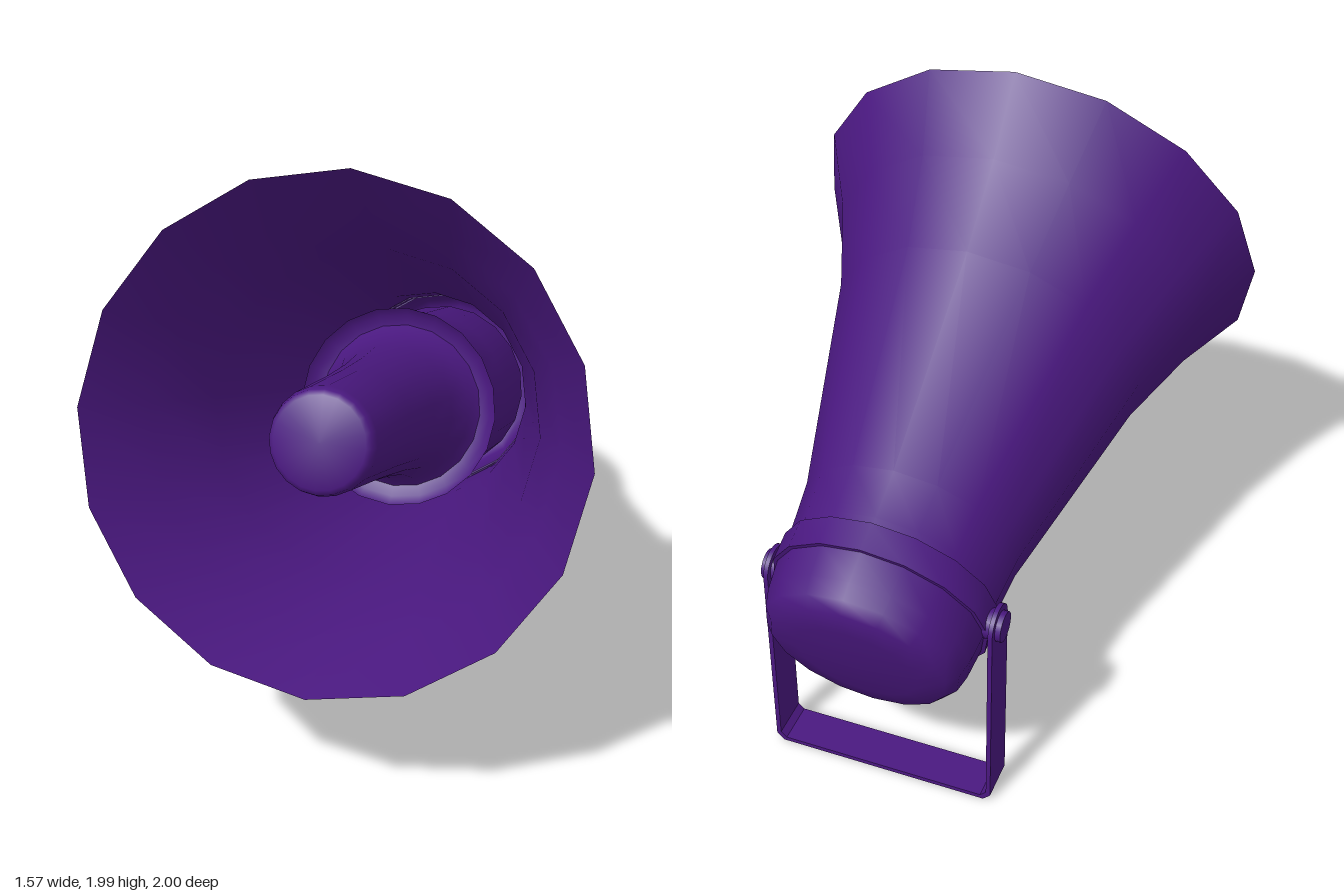
import * as THREE from 'three';
import { toCreasedNormals } from 'three/addons/utils/BufferGeometryUtils.js';

const material = new THREE.MeshStandardMaterial({ color: 0x4a1880, side: THREE.DoubleSide });
const PIVOT_Y = 0.735, PIVOT_Z = -0.69, TILT = THREE.MathUtils.degToRad(20.2);

function add(parent, name, geometry) {
  const mesh = new THREE.Mesh(geometry, material);
  mesh.name = name;
  parent.add(mesh);
  return mesh;
}

// profile points are [radius, distance along the horn axis from the pivot]
function turned(profile, segments = 16) {
  const points = profile.map(([r, s]) => new THREE.Vector2(r, s));
  return toCreasedNormals(new THREE.LatheGeometry(points, segments), 0.7);
}

export function createModel() {
  const model = new THREE.Group();
  model.name = 'hornLoudspeaker';

  // horn assembly, tilted upward about the bracket pivot
  const horn = new THREE.Group();
  horn.name = 'hornAssembly';
  horn.position.set(0, PIVOT_Y, PIVOT_Z);
  horn.rotation.x = Math.PI / 2 - TILT;
  model.add(horn);

  add(horn, 'outerBell', turned([
    [0.348, -0.04], [0.349, 0.08], [0.364, 0.24], [0.538, 0.965], [0.65, 1.257], [0.785, 1.51],
  ]));

  add(horn, 'collar', turned([
    [0.342, -0.042], [0.361, -0.042], [0.361, 0.054], [0.345, 0.054],
  ]));

  add(horn, 'driverCap', turned([
    [0, -0.256], [0.2, -0.245], [0.29, -0.23], [0.322, -0.195], [0.337, -0.14], [0.348, -0.04],
  ]));

  // inner reflex horn: outer wall, curled lip, flare and central tube
  add(horn, 'innerHorn', turned([
    [0.3, -0.04], [0.3, 0.3], [0.295, 0.52], [0.315, 0.6], [0.335, 0.66],
    [0.31, 0.63], [0.275, 0.62], [0.245, 0.66], [0.215, 0.78], [0.195, 0.95],
    [0.178, 1.2], [0.163, 1.55], [0.155, 1.58], [0.14, 1.592], [0, 1.592],
  ], 20));

  // U-shaped strap bracket with chamfered corners
  const bracket = new THREE.Group();
  bracket.name = 'mountingBracket';
  bracket.position.z = PIVOT_Z;
  model.add(bracket);

  const outer = 0.385, inner = 0.37, strap = 0.015, chamfer = 0.025, width = 0.14;
  const half = [
    [outer, PIVOT_Y], [outer, chamfer], [outer - chamfer, 0],
  ];
  const halfInside = [
    [inner - 0.02, strap], [inner, strap + 0.02], [inner, PIVOT_Y],
  ];
  const mirrored = (pts) => pts.map(([x, y]) => [-x, y]).reverse();
  const outline = [...mirrored(half).reverse(), ...half.slice().reverse(),
    ...halfInside.slice().reverse(), ...mirrored(halfInside).reverse()];
  const strapGeometry = new THREE.ExtrudeGeometry(
    new THREE.Shape(outline.map(([x, y]) => new THREE.Vector2(x, y))),
    { depth: width, bevelEnabled: false });
  strapGeometry.translate(0, 0, -width / 2);
  add(bracket, 'strap', strapGeometry);

  // rounded arm ends, spacers and bolts on both sides
  for (const side of [1, -1]) {
    const disc = (name, radius, from, to, arc = Math.PI * 2) => {
      const geometry = new THREE.CylinderGeometry(radius, radius, to - from, 16, 1, false, 0, arc);
      geometry.rotateZ(Math.PI / 2);
      add(bracket, name, geometry).position.set(side * (from + to) / 2, PIVOT_Y, 0);
    };
    disc('armEnd', width / 2, inner, outer, Math.PI);
    disc('spacer', 0.05, 0.33, inner);
    disc('bolt', 0.05, outer, 0.403);
  }
  return model;
}
